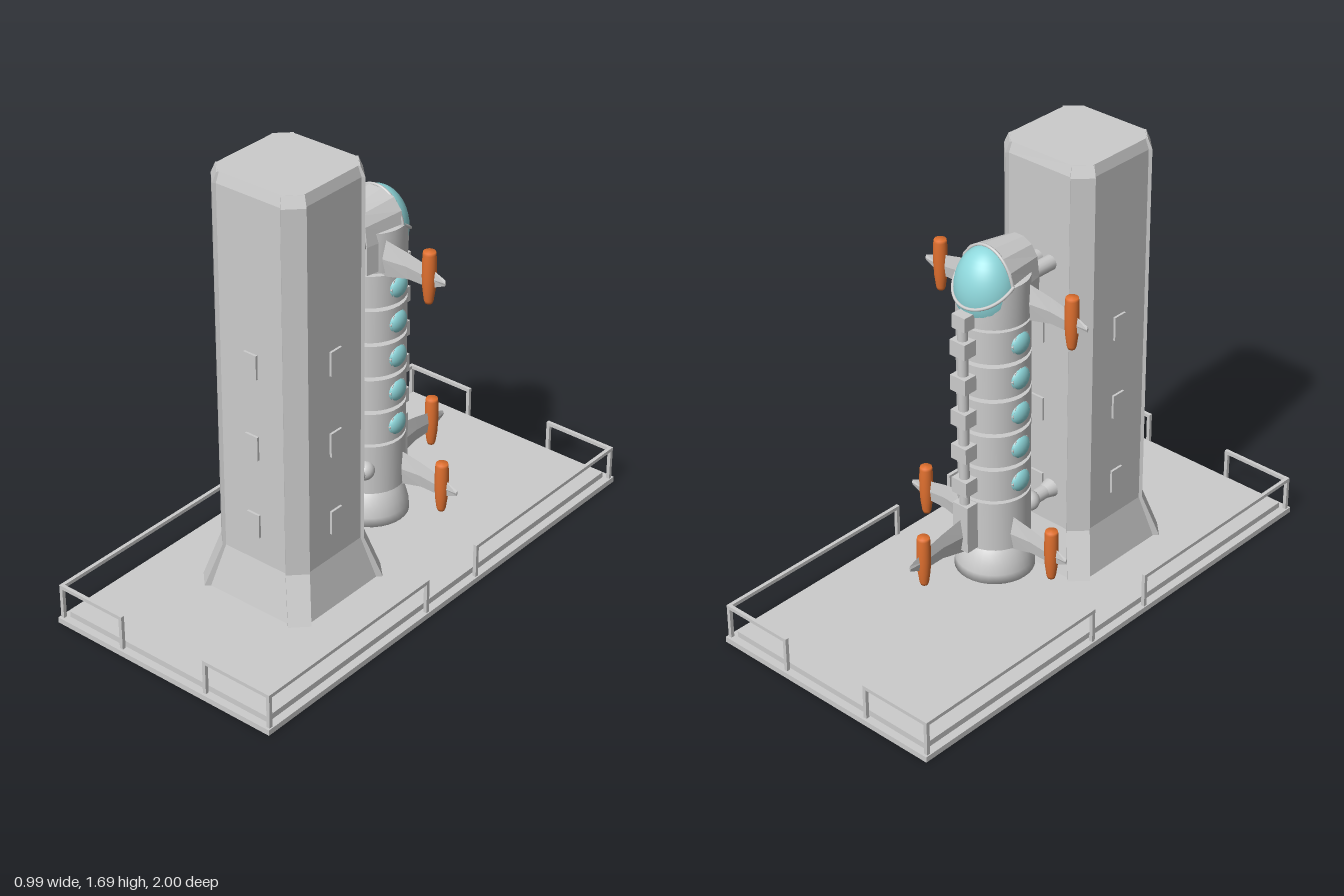
import * as THREE from 'three';

const grey = new THREE.MeshStandardMaterial({ color: 0xcccccc });
const facet = new THREE.MeshStandardMaterial({ color: 0xcccccc, flatShading: true });
const orange = new THREE.MeshStandardMaterial({ color: 0xe0702f });
const glass = new THREE.MeshStandardMaterial({ color: 0x8fd8dc });

function add(parent, name, geometry, material, x = 0, y = 0, z = 0) {
  const mesh = new THREE.Mesh(geometry, material);
  mesh.name = name;
  mesh.position.set(x, y, z);
  parent.add(mesh);
  return mesh;
}

function box(parent, name, w, h, d, x, y, z) {
  return add(parent, name, new THREE.BoxGeometry(w, h, d), grey, x, y, z);
}

// Skin rings of [x, y, z], each counter-clockwise about the lofting direction.
function loft(rings) {
  const pos = [];
  const tri = (a, b, c) => pos.push(...a, ...b, ...c);
  const n = rings[0].length;
  for (let r = 0; r < rings.length - 1; r++) {
    for (let i = 0; i < n; i++) {
      const j = (i + 1) % n, a = rings[r], b = rings[r + 1];
      tri(a[i], a[j], b[j]);
      tri(a[i], b[j], b[i]);
    }
  }
  const first = rings[0], last = rings[rings.length - 1];
  for (let i = 1; i < n - 1; i++) {
    tri(first[0], first[i + 1], first[i]);
    tri(last[0], last[i], last[i + 1]);
  }
  const g = new THREE.BufferGeometry();
  g.setAttribute('position', new THREE.Float32BufferAttribute(pos, 3));
  g.computeVertexNormals();
  return g;
}

function lathe(points) {
  return new THREE.LatheGeometry(points.map(p => new THREE.Vector2(...p)), 32);
}

// Deck on a thin plate with a rim below, and an L-shaped railing round each corner
function buildPlatform() {
  const g = new THREE.Group();
  g.name = 'platform';
  box(g, 'plate', 0.988, 0.004, 2, 0, 0.02, 0);
  box(g, 'deck', 0.925, 0.023, 1.94, 0, 0.0335, 0);
  for (const s of [-1, 1]) {
    box(g, 'sideRim', 0.01, 0.022, 2, s * 0.489, 0.011, 0);
    box(g, 'endRim', 0.988, 0.022, 0.01, 0, 0.011, s * 0.995);
  }
  const t = 0.014, X = 0.482, Z = 0.983, endX = 0.195, endZ = 0.143, top = 0.151;
  for (const sx of [-1, 1]) for (const sz of [-1, 1]) {
    for (const [x, z] of [[X, Z], [X, endZ], [endX, Z]])
      box(g, 'railPost', t, 0.148, t, sx * x, 0.076, sz * z);
    box(g, 'sideRail', t, t, Z - endZ + t, sx * X, top, sz * (Z + endZ) / 2);
    box(g, 'endRail', X - endX + t, t, t, sx * (X + endX) / 2, top, sz * Z);
  }
  return g;
}

// Eight-sided tower with flared foot, corner plates and hatches
function buildTower() {
  const g = new THREE.Group();
  g.name = 'tower';
  g.position.set(-0.007, 0, 0.297);
  const octagon = ([y, d, c]) => [[c, d], [d, c], [d, -c], [c, -d], [-c, -d], [-d, -c], [-d, c], [-c, d]]
    .map(([x, z]) => [x, y, z]);
  const shaft = [[0.017, 0.245, 0.19], [0.22, 0.199, 0.148], [1.65, 0.199, 0.148], [1.69, 0.188, 0.14]];
  add(g, 'towerShaft', loft(shaft.map(octagon)), facet);
  const plate = ([y, d, c]) => [[c, d], [d, c], [d - 0.03, c - 0.03], [c - 0.03, d - 0.03]]
    .map(([x, z]) => [x, y, z]);
  const plateGeo = loft([[0.017, 0.263, 0.205], [0.22, 0.208, 0.148], [1.65, 0.208, 0.148], [1.689, 0.194, 0.14]].map(plate));
  for (let k = 0; k < 4; k++) {
    const side = new THREE.Group();
    side.name = 'towerSide';
    side.rotation.y = k * Math.PI / 2;
    add(side, 'cornerPlate', plateGeo, facet);
    for (const y of [0.37, 0.69, 1.013]) box(side, 'hatch', 0.056, 0.094, 0.02, 0, y, 0.198);
    g.add(side);
  }
  return g;
}

// Thin tapered wing along +x with a capsule-shaped pod near its tip
function buildWing(name) {
  const g = new THREE.Group();
  g.name = name;
  const ring = ([x, y0, y1, t]) => {
    const m = (y0 + y1) / 2;
    return [[x, y1, 0], [x, m, t], [x, y0, 0], [x, m, -t]];
  };
  const sections = [[0.1, -0.07, 0.078, 0.013], [0.21, -0.042, 0.06, 0.008],
    [0.31, -0.042, 0.036, 0.006], [0.375, -0.012, 0.01, 0.004]];
  add(g, 'strut', loft(sections.map(ring)), facet);
  add(g, 'pod', lathe([[0, -0.102], [0.013, -0.101], [0.017, -0.09], [0.023, -0.045], [0.0255, 0],
    [0.0255, 0.05], [0.024, 0.088], [0.022, 0.098], [0, 0.1]]), orange, 0.305, 0, 0);
  return g;
}

// Cabin with sliced collar, tapered roof, bubble canopy and rim
function buildCabin() {
  const g = new THREE.Group();
  g.name = 'cabin';
  const cz = -0.127;
  const sill = z => Math.min(1.246 + (z + 0.27) * 0.7, 1.326);
  const collar = new THREE.CylinderGeometry(0.131, 0.131, 0.2, 32);
  const p = collar.attributes.position;
  for (let i = 0; i < p.count; i++) p.setY(i, p.getY(i) < 0 ? 1.172 : sill(p.getZ(i) + cz));
  collar.computeVertexNormals();
  add(g, 'collar', collar, grey, 0, 0, cz);

  const arch = (z, rx, top) => {
    const pts = [[-rx, 1.18, z], [rx, 1.18, z]];
    for (let i = 0; i <= 7; i++) {
      const a = i / 7 * Math.PI;
      pts.push([rx * Math.cos(a), 1.29 + (top - 1.29) * Math.sin(a) ** 0.7, z]);
    }
    return pts;
  };
  add(g, 'roof', loft([arch(-0.158, 0.123, 1.44), arch(0.005, 0.092, 1.422)]), facet);

  const canopy = add(g, 'canopy', new THREE.SphereGeometry(1, 32, 20, Math.PI, Math.PI), glass, 0, 1.28, -0.157);
  canopy.scale.set(0.118, 0.157, 0.112);

  // Rim: upright hoop over the roof edge, sloping sill below the glass
  const hoop = [], sillLine = [];
  for (let i = 0; i <= 16; i++) {
    const a = Math.PI * i / 16, b = a * 0.92 + 0.04 * Math.PI;
    hoop.push(new THREE.Vector3(0.121 * Math.cos(b), 1.285 + 0.154 * Math.sin(b), -0.157));
    const z = -0.157 - 0.112 * Math.sin(a);
    sillLine.push(new THREE.Vector3(0.122 * Math.cos(a), sill(z), z));
  }
  for (const [name, pts] of [['canopyHoop', hoop], ['canopySill', sillLine]])
    add(g, name, new THREE.TubeGeometry(new THREE.CatmullRomCurve3(pts), 40, 0.006, 8), grey);
  return g;
}

// Segmented craft docked upright behind the tower
function buildCraft() {
  const g = new THREE.Group();
  g.name = 'craft';
  const cz = -0.127, r = 0.131;
  const drum = (name, radius, y0, y1) =>
    add(g, name, new THREE.CylinderGeometry(radius, radius, y1 - y0, 32), grey, 0, (y0 + y1) / 2, cz);
  drum('core', 0.105, 0.25, 1.2);
  drum('engineSection', r, 0.265, 0.464);
  add(g, 'nozzle', lathe([[0, 0.16], [0.12, 0.13], [0.147, 0.13], [0.144, 0.165], [0.135, 0.2],
    [0.12, 0.235], [0.1, 0.262], [0.09, 0.27]]), grey, 0, 0, cz);

  // Hull segments, each with two portholes and a spine clamp
  for (let i = 0; i < 5; i++) {
    const y = 0.538 + i * 0.14;
    drum('hullSegment', r, y - 0.061, y + 0.063);
    for (const s of [-1, 1]) {
      const frame = add(g, 'portholeFrame', new THREE.CylinderGeometry(0.044, 0.047, 0.03, 8), facet, s * 0.116, y, cz);
      frame.rotation.z = -s * Math.PI / 2;
      const port = add(g, 'porthole', new THREE.SphereGeometry(0.045, 20, 14), glass, s * 0.12, y, cz);
      port.scale.x = 0.62;
    }
    box(g, 'spineClamp', 0.07, 0.06, 0.065, 0, y, -0.277);
  }
  add(g, 'spinePipe', new THREE.CylinderGeometry(0.019, 0.019, 0.78, 16), grey, 0, 0.83, -0.281);
  box(g, 'spineCap', 0.06, 0.055, 0.06, 0, 1.2, -0.272);
  box(g, 'spineFoot', 0.07, 0.19, 0.07, 0, 0.366, -0.27);

  g.add(buildCabin());

  // Five wings: upper pair, lower pair and rear
  for (const [y, z] of [[1.222, -0.068], [0.323, -0.163]]) {
    for (const s of [0, 1]) {
      const wing = buildWing(s ? 'rightWing' : 'leftWing');
      wing.position.set(0, y, z);
      wing.rotation.y = s * Math.PI;
      g.add(wing);
    }
  }
  const rear = buildWing('rearWing');
  rear.position.set(0, 0.323, -0.187);
  rear.rotation.y = Math.PI / 2;
  g.add(rear);
  return g;
}

// Docking arms between tower and craft
function buildArms() {
  const g = new THREE.Group();
  g.name = 'dockingArms';
  const arm = (name, r0, r1, len, x, y, z) => {
    const m = add(g, name, new THREE.CylinderGeometry(r0, r1, len, 16), grey, x, y, z);
    m.rotation.x = Math.PI / 2;
  };
  for (const x of [-0.06, 0, 0.06]) arm('upperArm', 0.028, 0.028, 0.16, x, 1.295, 0.035);
  for (const x of [-0.068, 0.068]) {
    arm('lowerArm', 0.026, 0.026, 0.13, x, 0.368, 0.045);
    arm('lowerArmFlange', 0.038, 0.026, 0.045, x, 0.368, 0.083);
    add(g, 'lowerArmJoint', new THREE.SphereGeometry(0.038, 20, 14), grey, x, 0.368, -0.015);
  }
  return g;
}

export function createModel() {
  const model = new THREE.Group();
  model.name = 'launchTower';
  model.add(buildPlatform(), buildTower(), buildCraft(), buildArms());
  return model;
}
